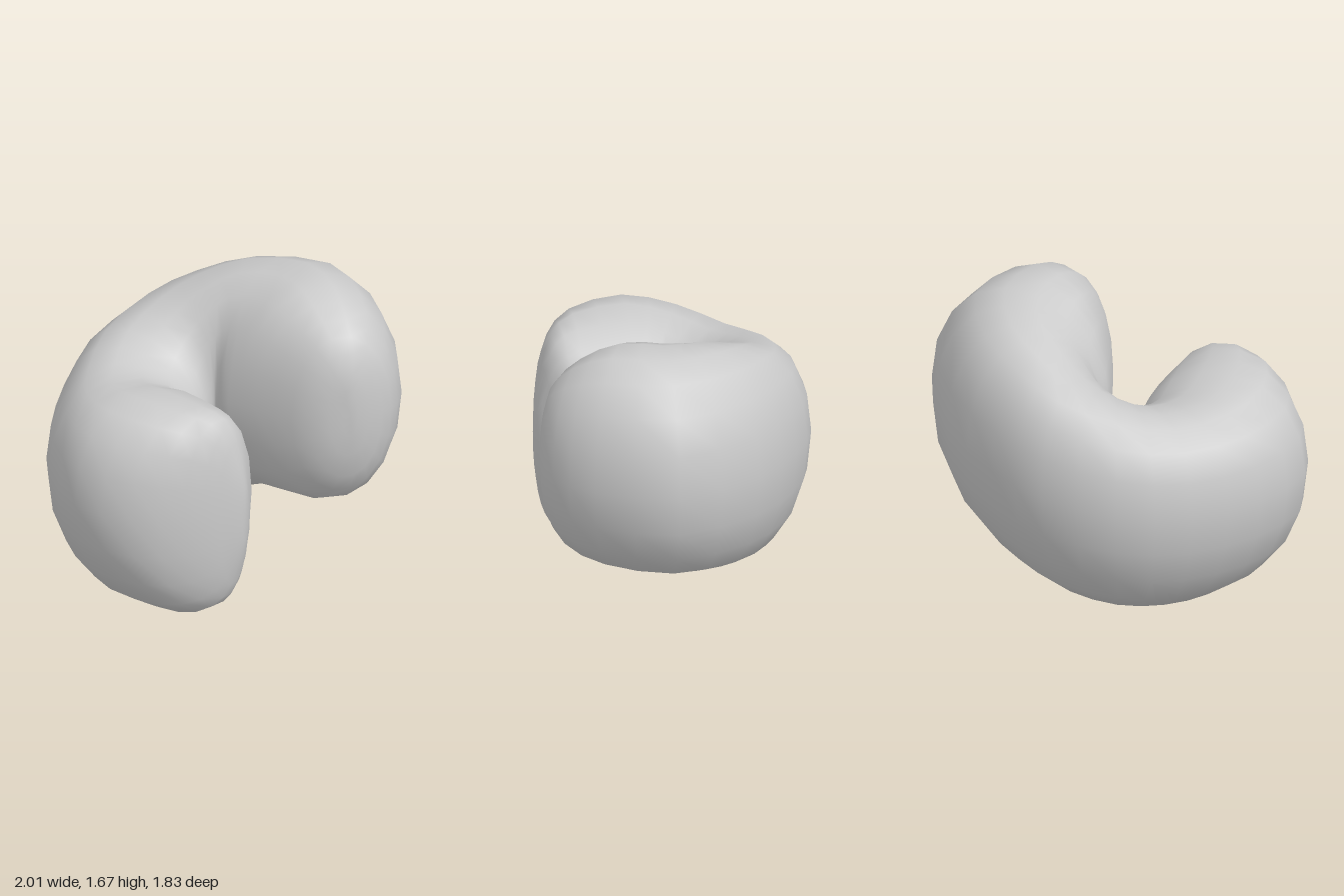
import * as THREE from 'three';

// Stations along the curl: outer x, z, inner x, z, bottom y, top y, rise of the outer side
const STATIONS = [
  [0.75, 0.26, 0.66, 0.27, 0.92, 1.22, 0],
  [0.89, 0.18, 0.48, 0.27, 0.64, 1.43, 0],
  [0.98, 0.04, 0.27, 0.16, 0.44, 1.58, 0],
  [1.00, -0.25, 0.08, 0.04, 0.35, 1.68, 0],
  [0.82, -0.70, -0.01, -0.02, 0.30, 1.67, 0.03],
  [0.30, -0.91, -0.04, -0.07, 0.23, 1.62, 0.05],
  [-0.15, -0.88, -0.06, -0.07, 0.15, 1.53, 0.08],
  [-0.50, -0.76, -0.08, -0.05, 0.08, 1.42, 0.12],
  [-0.82, -0.46, -0.09, -0.02, 0.03, 1.31, 0.14],
  [-0.97, -0.05, -0.09, 0.02, 0.00, 1.24, 0.14],
  [-1.00, 0.38, -0.09, 0.05, 0.00, 1.26, 0.14],
  [-0.86, 0.75, -0.03, 0.09, 0.00, 1.31, 0.12],
  [-0.55, 0.91, 0.13, 0.33, 0.01, 1.31, 0.09],
  [-0.25, 0.88, 0.14, 0.46, 0.07, 1.26, 0.05],
  [-0.05, 0.80, 0.13, 0.56, 0.22, 1.11, 0.02],
  [0.08, 0.72, 0.12, 0.66, 0.50, 0.85, 0],
];
const SIDES = 18;
const STEPS = 30;

// Smooth value of one column at parameter t in 0..1
function sample(column, t) {
  const f = t * (STATIONS.length - 1);
  const i = Math.min(Math.floor(f), STATIONS.length - 2);
  const u = f - i;
  const at = (k) => STATIONS[THREE.MathUtils.clamp(k, 0, STATIONS.length - 1)][column];
  const [a, b, c, d] = [at(i - 1), at(i), at(i + 1), at(i + 2)];
  return b + 0.5 * u * (c - a + u * (2 * a - 5 * b + 4 * c - d + u * (3 * (b - c) + d - a)));
}

// Very slightly squared ellipse
const squared = (v) => Math.sign(v) * Math.pow(Math.abs(v), 0.96);

function curledBody() {
  const points = [];
  const index = [];
  const centres = [];
  for (let i = 0; i <= STEPS; i++) {
    const [ox, oz, ix, iz, low, high, rise] = STATIONS[0].map((_, c) => sample(c, i / STEPS));
    const centre = [(ox + ix) / 2, (low + high) / 2, (oz + iz) / 2];
    centres.push(centre);
    for (let j = 0; j < SIDES; j++) {
      const a = (j / SIDES) * Math.PI * 2;
      const c = squared(Math.cos(a)) / 2;
      const s = squared(Math.sin(a)) / 2;
      points.push(
        centre[0] + c * (ox - ix),
        centre[1] + s * (high - low) + Math.max(c, 0) * 2 * rise,
        centre[2] + c * (oz - iz),
      );
      if (i === STEPS) continue;
      const k = (j + 1) % SIDES;
      const p = i * SIDES;
      const q = p + SIDES;
      index.push(p + j, q + j, p + k, p + k, q + j, q + k);
    }
  }
  // Close both ends with a fan
  [0, STEPS].forEach((row) => {
    const tip = points.length / 3;
    points.push(...centres[row]);
    for (let j = 0; j < SIDES; j++) {
      const a = row * SIDES + j;
      const b = row * SIDES + ((j + 1) % SIDES);
      if (row === 0) index.push(tip, a, b);
      else index.push(tip, b, a);
    }
  });
  const geometry = new THREE.BufferGeometry();
  geometry.setAttribute('position', new THREE.Float32BufferAttribute(points, 3));
  geometry.setIndex(index);
  geometry.computeVertexNormals();
  return geometry;
}

export function createModel() {
  const group = new THREE.Group();
  group.name = 'curledNut';
  const body = new THREE.Mesh(
    curledBody(),
    new THREE.MeshStandardMaterial({ color: 0xcccccc, side: THREE.DoubleSide }),
  );
  body.name = 'kernel';
  group.add(body);
  return group;
}
